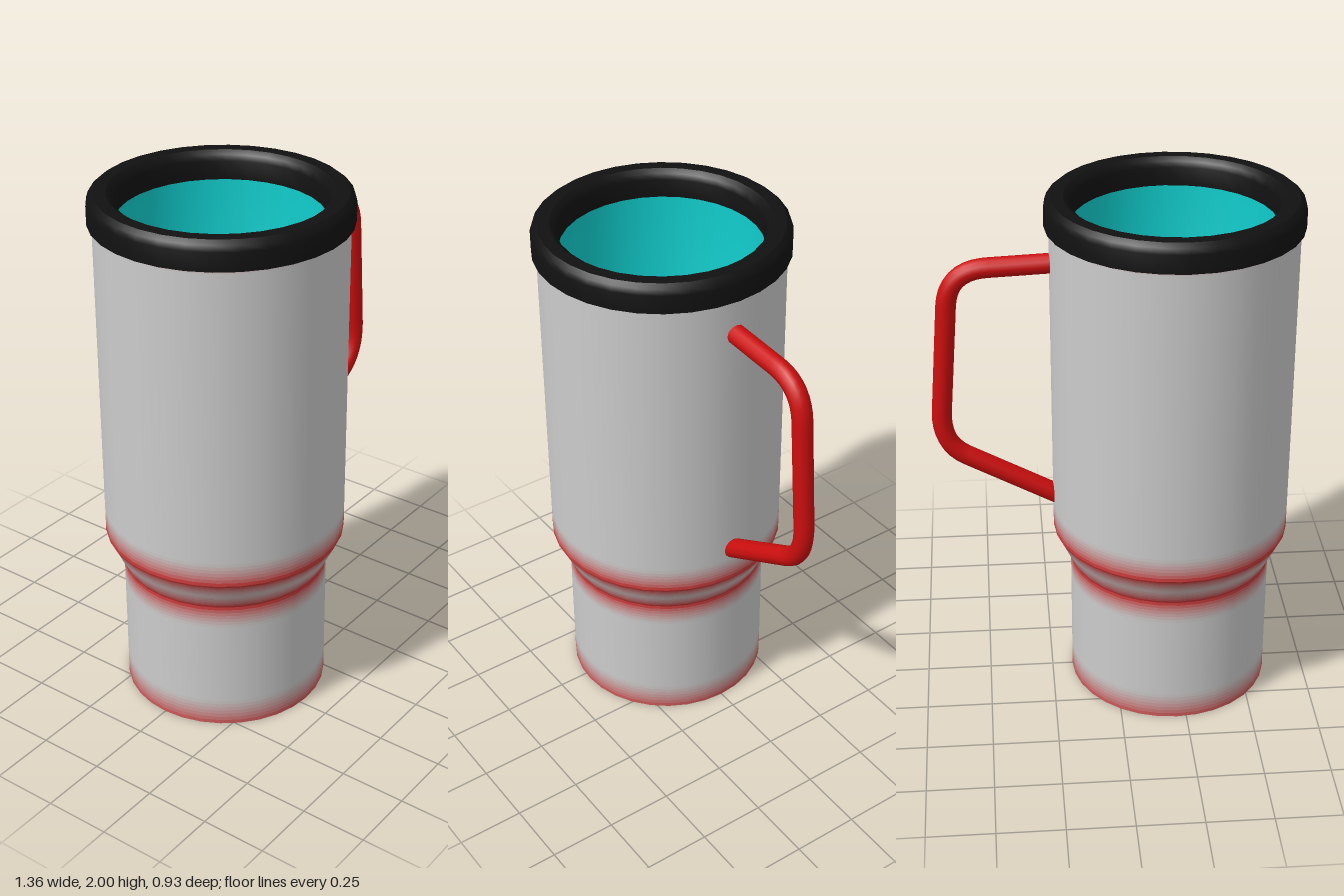
import * as THREE from 'three';
import { toCreasedNormals } from 'three/addons/utils/BufferGeometryUtils.js';

const AXIS_X = -0.215;
const SIDES = 32;
const GREY = new THREE.Color(0xcccccc);
const RED = new THREE.Color(0xcc0e0e);

function lathe(name, points, color, creased = false) {
  let geometry = new THREE.LatheGeometry(points.map(([r, y]) => new THREE.Vector2(r, y)), SIDES);
  if (creased) geometry = toCreasedNormals(geometry, 0.6);
  const mesh = new THREE.Mesh(geometry, new THREE.MeshStandardMaterial({ color }));
  mesh.name = name;
  return mesh;
}

// Wall between two profile points, split into thin rings that fade in colour.
// Each end is [radius, y, amount of red].
function fade(group, name, a, b) {
  const steps = a[2] === b[2] ? 1 : 7;
  const at = (t) => [0, 1, 2].map((i) => THREE.MathUtils.lerp(a[i], b[i], t));
  for (let i = 0; i < steps; i++) {
    const amount = at((i + 0.5) / steps)[2];
    const color = GREY.clone().lerpColors(GREY, RED, amount);
    group.add(lathe(name, [at(i / steps), at((i + 1) / steps)], color));
  }
}

export function createModel() {
  const model = new THREE.Group();
  model.name = 'travelMug';

  const cup = new THREE.Group();
  cup.name = 'cup';
  cup.position.x = AXIS_X;
  model.add(cup);

  // Outer shell, from the centre of the base up to the rim
  const shell = new THREE.Group();
  shell.name = 'shell';
  cup.add(shell);
  const profile = [
    [0, 0, 0], [0.32, 0, 0], [0.385, 0, 0.9],
    [0.385, 0.105, 0], [0.385, 0.44, 0], [0.385, 0.53, 1],
    [0.418, 0.6, 0.2], [0.45, 0.665, 1],
    [0.45, 0.76, 0], [0.45, 1.88, 0], [0.45, 1.9, 0.6],
  ];
  for (let i = 0; i < profile.length - 1; i++) {
    fade(shell, i < 2 ? 'base' : 'wall', profile[i], profile[i + 1]);
  }

  // Inside of the cup, following the outer shell
  cup.add(lathe('liner', [
    [0.392, 1.93], [0.392, 0.68], [0.327, 0.54], [0.327, 0.06], [0, 0.06],
  ], 0x11cccc, true));

  // Rounded black rim
  cup.add(lathe('rim', [
    [0.37, 1.895], [0.467, 1.895], [0.467, 1.965], [0.46, 1.986], [0.443, 2],
    [0.397, 2], [0.378, 1.986], [0.37, 1.965], [0.37, 1.895],
  ], 0x111111, true));

  // Bent tube handle: straight runs joined by two rounded corners
  const p = [
    [0.19, 1.755], [0.46, 1.743], [0.597, 1.735], [0.609, 1.6],
    [0.642, 1.18], [0.655, 1.04], [0.56, 0.985], [0.19, 0.783],
  ].map(([x, y]) => new THREE.Vector3(x, y, 0));
  const path = new THREE.CurvePath();
  path.add(new THREE.LineCurve3(p[0], p[1]));
  path.add(new THREE.QuadraticBezierCurve3(p[1], p[2], p[3]));
  path.add(new THREE.LineCurve3(p[3], p[4]));
  path.add(new THREE.QuadraticBezierCurve3(p[4], p[5], p[6]));
  path.add(new THREE.LineCurve3(p[6], p[7]));
  const handle = new THREE.Mesh(
    new THREE.TubeGeometry(path, 60, 0.037, 12),
    new THREE.MeshStandardMaterial({ color: RED }),
  );
  handle.name = 'handle';
  model.add(handle);

  return model;
}
